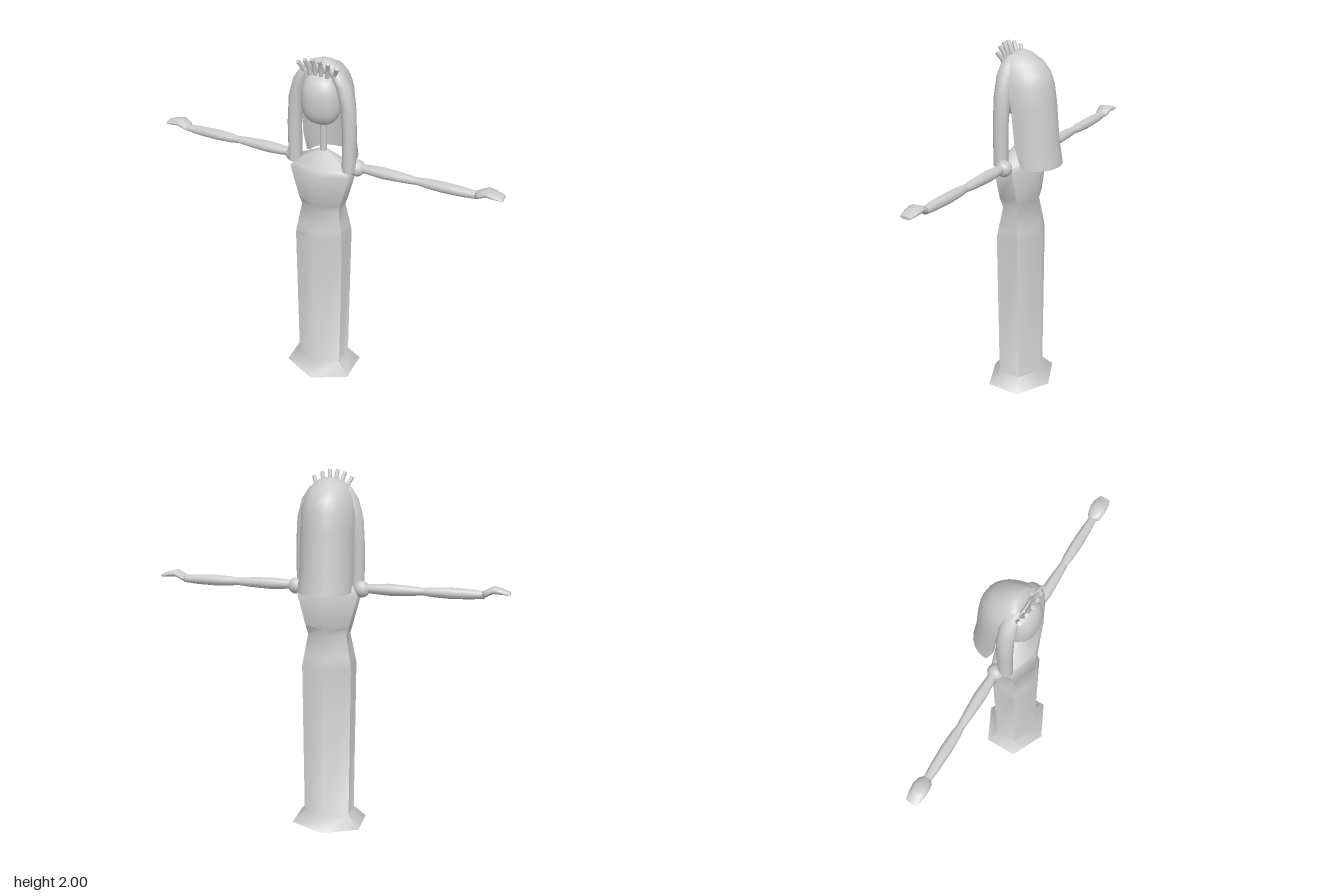
import * as THREE from 'three';
import { toCreasedNormals } from 'three/addons/utils/BufferGeometryUtils.js';

const grey = new THREE.MeshStandardMaterial({ color: 0xcccccc });
const greyDouble = new THREE.MeshStandardMaterial({ color: 0xcccccc, side: THREE.DoubleSide });

function add(parent, name, geometry, material = grey) {
  const mesh = new THREE.Mesh(geometry, material);
  mesh.name = name;
  parent.add(mesh);
  return mesh;
}

// Skin between rings of equal length, ordered counter-clockwise seen from above
function loft(rings, { capBottom = true, capTop = true, crease = 1.1 } = {}) {
  const n = rings[0].length;
  const points = rings.flat();
  const index = [];
  for (let i = 0; i < rings.length - 1; i++) {
    for (let j = 0; j < n; j++) {
      const a = i * n + j, b = i * n + (j + 1) % n;
      index.push(a, b, b + n, a, b + n, a + n);
    }
  }
  const last = (rings.length - 1) * n;
  // Strip caps work for crescent sections as well as ovals
  for (let j = 0; j < n / 2 - 1; j++) {
    const p = j, q = j + 1, r = n - 2 - j, s = n - 1 - j;
    if (capBottom) index.push(p, r, q, p, s, r);
    if (capTop) index.push(last + p, last + q, last + r, last + p, last + r, last + s);
  }
  const geometry = new THREE.BufferGeometry().setFromPoints(points);
  geometry.setIndex(index);
  return toCreasedNormals(geometry, crease);
}

// Oval section: height, centre x, half width, centre z, half depth
function oval([y, cx, hx, cz, hz], sides = 12, phase = 0) {
  return Array.from({ length: sides }, (_, k) => {
    const t = phase + k * 2 * Math.PI / sides;
    return new THREE.Vector3(cx + hx * Math.cos(t), y, cz - hz * Math.sin(t));
  });
}

// Crescent section: outer arc round the back, inner arc returning
function crescent([y, w, edgeZ, depth, innerDepth], steps = 14) {
  const ring = [];
  for (let k = 0; k <= steps; k++) {
    const t = Math.PI * k / steps;
    ring.push(new THREE.Vector3(w * Math.cos(t), y, edgeZ - depth * Math.sin(t)));
  }
  for (let k = steps; k >= 0; k--) {
    const t = Math.PI * k / steps;
    ring.push(new THREE.Vector3(w * 0.86 * Math.cos(t), y, edgeZ - innerDepth * Math.sin(t)));
  }
  return ring;
}

function makeArm() {
  const arm = new THREE.Group();
  add(arm, 'shoulderJoint', new THREE.SphereGeometry(0.045, 10, 7)).position.set(0.183, 1.38, 0);

  // Two spindle-shaped segments
  const segment = (name, start, length, r) => {
    const profile = [[0, 0], [0.02, 0], [0.026, 0.15], [r, 0.42], [0.027, 0.75], [0.02, 1], [0, 1]]
      .map(([x, y]) => new THREE.Vector2(x, y * length));
    const mesh = add(arm, name, toCreasedNormals(new THREE.LatheGeometry(profile, 10), 0.9));
    mesh.rotation.z = -Math.PI / 2;
    mesh.position.set(start, 1.385, 0);
  };
  segment('upperArm', 0.19, 0.33, 0.032);
  segment('forearm', 0.515, 0.32, 0.03);

  // Flat mitten hand, lofted upward then laid along x
  const sections = [
    [0, 0, 0.016, 0, 0.018], [0.02, -0.006, 0.02, 0, 0.037], [0.06, -0.027, 0.02, 0, 0.044],
    [0.1, -0.021, 0.016, 0, 0.042], [0.145, -0.012, 0.008, 0, 0.032],
  ].map(s => oval(s, 10));
  const hand = add(arm, 'hand', loft(sections));
  hand.rotation.z = -Math.PI / 2;
  hand.position.set(0.82, 1.388, 0);
  return arm;
}

export function createModel() {
  const model = new THREE.Group();
  model.name = 'figure';

  // Six-sided gown, open at the hem, tapering to the base of the neck
  const gown = [
    [0, 0.195, 0.027, 0.19], [0.07, 0.13, 0.027, 0.13], [0.94, 0.138, 0.027, 0.134],
    [1.0, 0.129, 0.026, 0.12], [1.12, 0.108, 0.025, 0.09], [1.17, 0.12, 0.027, 0.112],
    [1.35, 0.168, 0.027, 0.112], [1.38, 0.15, 0.027, 0.1], [1.46, 0.02, 0.027, 0.02],
  ].map(([y, hx, cz, hz]) => oval([y, 0, hx / Math.cos(Math.PI / 6), cz, hz], 6, Math.PI / 6));
  add(model, 'gown', loft(gown, { capBottom: false }), greyDouble);

  add(model, 'neck', new THREE.CylinderGeometry(0.017, 0.019, 0.24, 10)).position.set(0, 1.55, 0.03);

  // Rounded-square head
  const head = new THREE.SphereGeometry(1, 24, 16);
  const p = head.attributes.position;
  const square = v => Math.sign(v) * Math.abs(v) ** 0.8;
  for (let i = 0; i < p.count; i++) {
    p.setXYZ(i, 0.105 * square(p.getX(i)), 0.14 * square(p.getY(i)), 0.095 * p.getZ(i));
  }
  head.computeVertexNormals();
  add(model, 'head', head).position.set(0, 1.763, 0.05);

  // Long hair falling down the back, closing to a dome over the head
  const backHair = [
    [1.375, 0.145, -0.07, 0.14, 0.1], [1.5, 0.145, -0.03, 0.16, 0.125],
    [1.7, 0.145, -0.01, 0.162, 0.125], [1.8, 0.142, 0.01, 0.168, 0.11],
    [1.86, 0.13, 0.03, 0.17, 0.02], [1.91, 0.108, 0.05, 0.15, -0.02],
    [1.945, 0.075, 0.05, 0.09, -0.02], [1.965, 0.025, 0.03, 0.03, -0.01],
  ].map(s => crescent(s));
  add(model, 'backHair', loft(backHair), greyDouble);

  // Locks framing the face and resting on the shoulders
  for (const side of [1, -1]) {
    const lock = [
      [1.38, 0.153, 0.036, 0.05, 0.04], [1.6, 0.154, 0.036, 0.048, 0.042],
      [1.75, 0.143, 0.038, 0.045, 0.045], [1.85, 0.115, 0.04, 0.045, 0.045],
      [1.91, 0.08, 0.036, 0.045, 0.04], [1.94, 0.05, 0.02, 0.045, 0.025],
    ].map(([y, cx, hx, cz, hz]) => oval([y, side * cx, hx, cz, hz], 12));
    add(model, side > 0 ? 'leftLock' : 'rightLock', loft(lock));
  }

  // Crown of fanned prongs
  const crown = new THREE.Group();
  crown.name = 'crown';
  model.add(crown);
  for (let k = 0; k < 6; k++) {
    const u = (k - 2.5) / 2.5;
    const base = new THREE.Vector3(0.075 * u, 1.905 - 0.025 * u * u, 0.09 - 0.02 * u * u);
    const tip = new THREE.Vector3(0.105 * u, 1.997 - 0.035 * u * u, 0.12 - 0.02 * u * u);
    const middle = base.clone().lerp(tip, 0.5).add(new THREE.Vector3(-0.004 * u, 0, -0.006));
    const curve = new THREE.CatmullRomCurve3([base, middle, tip]);
    add(crown, 'prong', new THREE.TubeGeometry(curve, 6, 0.011, 8));
    const end = add(crown, 'prongTip', new THREE.CircleGeometry(0.011, 8));
    end.position.copy(tip);
    end.quaternion.setFromUnitVectors(new THREE.Vector3(0, 0, 1), curve.getTangent(1));
  }

  // Outstretched arms
  for (const side of [1, -1]) {
    const arm = makeArm();
    arm.name = side > 0 ? 'leftArm' : 'rightArm';
    arm.rotation.y = side > 0 ? 0 : Math.PI;
    arm.position.z = 0.01;
    model.add(arm);
  }
  return model;
}
